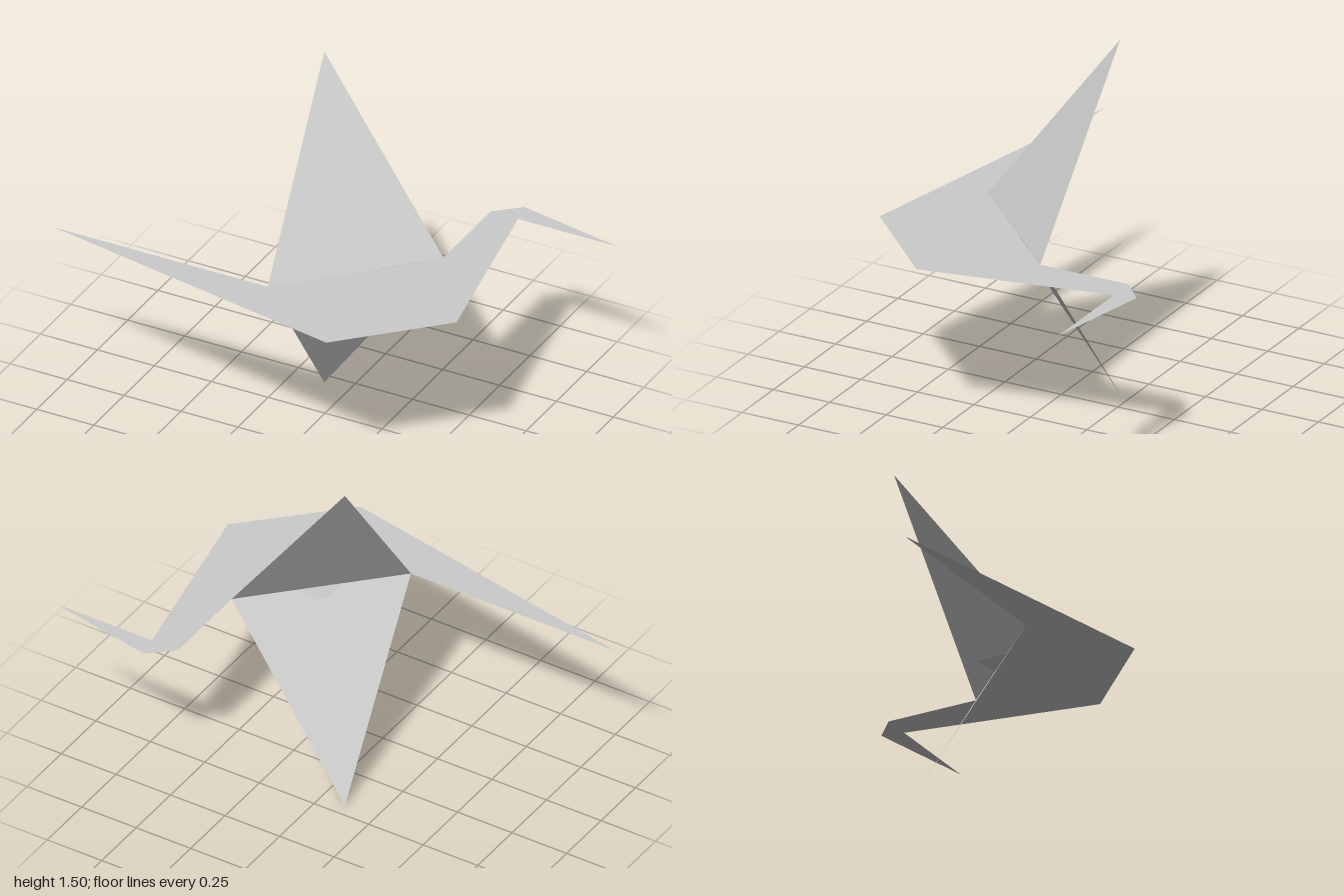
import * as THREE from 'three';

const FOLD_Y = 0.752; // height of the flat body sheet
const TAIL_ROOT = [-0.06, 0.36]; // wing fold ends, as [x, z]
const NECK_ROOT = [0.44, -0.15];
const WING_TIP = [-0.11, -0.2];

const paper = new THREE.MeshStandardMaterial({
  color: 0xcccccc, flatShading: true, side: THREE.DoubleSide,
});

// Flat sheet from an [x, z] outline, facing up
function sheet(outline) {
  const shape = new THREE.Shape(outline.map(([x, z]) => new THREE.Vector2(x, -z)));
  return new THREE.ShapeGeometry(shape).rotateX(-Math.PI / 2);
}

// Triangular wing from the shared fold to a tip above (+1) or below (-1) the body
function wing(side) {
  const corners = [TAIL_ROOT, NECK_ROOT, WING_TIP].map(
    ([x, z], i) => new THREE.Vector3(x, i === 2 ? FOLD_Y * (1 + side) : FOLD_Y, z));
  if (side < 0) corners.reverse();
  const geometry = new THREE.BufferGeometry().setFromPoints(corners);
  geometry.computeVertexNormals();
  return new THREE.Mesh(geometry, paper);
}

export function createModel() {
  const group = new THREE.Group();
  group.name = 'paperCrane';

  // Body with tail, neck and beak in one folded sheet
  const body = new THREE.Mesh(sheet([
    [-1, 0.36], // tail tip
    [0.335, 0.62], [0.71, 0.25], // belly
    [0.56, -0.54], [1, -0.54], // throat, beak tip
    [0.54, -0.63], [0.44, -0.54], // head
    NECK_ROOT,
    [0.255, 0.04], [0.13, 0.04], [0.13, 0.165], // small hump between the wings
    TAIL_ROOT,
  ]), paper);
  body.name = 'body';
  body.position.y = FOLD_Y;
  group.add(body);

  // Mirrored pair of wings
  for (const [name, side] of [['upperWing', 1], ['lowerWing', -1]]) {
    const mesh = wing(side);
    mesh.name = name;
    group.add(mesh);
  }
  return group;
}
